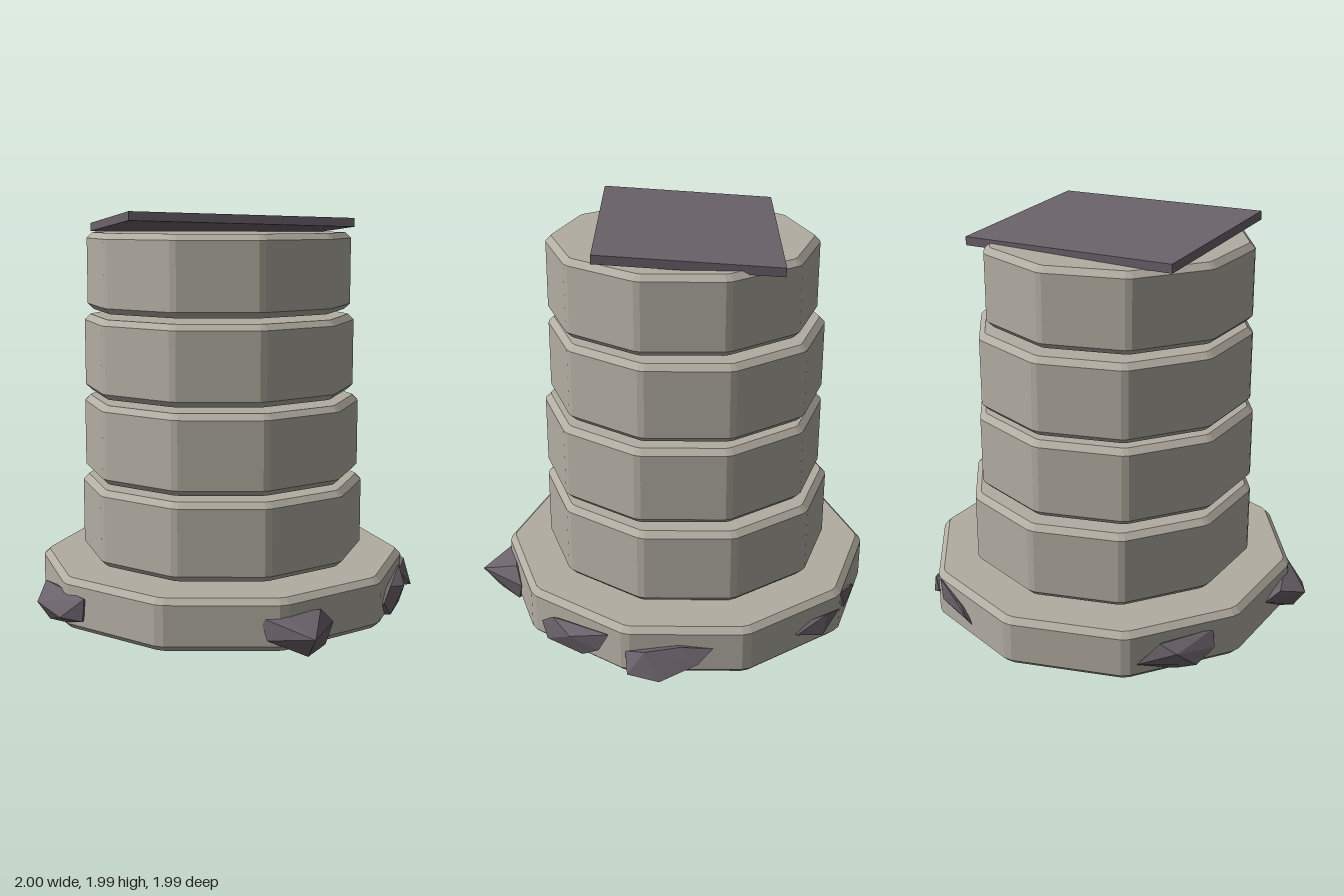
import * as THREE from 'three';
import { ConvexGeometry } from 'three/addons/geometries/ConvexGeometry.js';

const stone = new THREE.MeshStandardMaterial({ color: 0xb2ada2, flatShading: true });
stone.name = 'pale stone';
const slate = new THREE.MeshStandardMaterial({ color: 0x6a626a, flatShading: true });
slate.name = 'dark slate';

// Ten-sided block with bevelled rims and slightly chamfered upright edges
function drum(name, radius, bottom, top, x, z) {
  const bevel = 0.028, sides = 10, cut = 0.04;
  const corner = (i) => new THREE.Vector2(
    Math.sin(-i * Math.PI * 2 / sides), Math.cos(-i * Math.PI * 2 / sides)).multiplyScalar(radius);
  const points = [];
  for (let i = 0; i < sides; i++) {
    points.push(corner(i).lerp(corner(i - 1), cut), corner(i).lerp(corner(i + 1), cut));
  }
  const geometry = new THREE.ExtrudeGeometry(new THREE.Shape(points), {
    depth: top - bottom - 2 * bevel, bevelEnabled: true, bevelSegments: 1,
    bevelSize: bevel, bevelThickness: bevel, bevelOffset: -bevel,
  });
  geometry.rotateX(-Math.PI / 2);
  const mesh = new THREE.Mesh(geometry, stone);
  mesh.name = name;
  mesh.position.set(x, bottom + bevel, z);
  return mesh;
}

// Faceted rock wrapped around a few corner points
function rock(name, corners) {
  const mesh = new THREE.Mesh(
    new ConvexGeometry(corners.map((p) => new THREE.Vector3(...p))), slate);
  mesh.name = name;
  return mesh;
}

export function createModel() {
  const model = new THREE.Group();
  model.name = 'stonePillar';

  // Wide base and four stacked drums, each a little narrower
  model.add(
    drum('base', 0.93, 0.015, 0.265, 0.005, -0.075),
    drum('drum1', 0.718, 0.28, 0.66, 0.005, -0.08),
    drum('drum2', 0.697, 0.69, 1.075, -0.005, -0.06),
    drum('drum3', 0.682, 1.1, 1.483, -0.012, -0.075),
    drum('drum4', 0.662, 1.51, 1.89, -0.02, -0.055),
  );

  // Tilted cap slab
  const slab = new THREE.Mesh(new THREE.BoxGeometry(1.11, 0.042, 0.86), slate);
  slab.name = 'capSlab';
  slab.position.set(-0.02, 1.926, -0.08);
  slab.rotation.set(-0.067, 0, -0.028);
  model.add(slab);

  // Rocks lodged around the base
  model.add(
    rock('frontRock', [[-0.1, 0.18, 0.81], [-0.08, 0.08, 0.85], [0.1, 0.11, 0.99], [0.1, 0.002, 0.9],
      [0.23, 0.01, 0.79], [0.275, 0.11, 0.77], [0.2, 0.185, 0.8], [0, 0.19, 0.83], [0.1, 0.1, 0.65], [0.05, 0.003, 0.7]]),
    rock('leftRock', [[0.88, 0.14, 0.21], [0.955, 0.06, 0.2], [1.0, 0.05, 0.05], [0.96, 0.12, -0.13],
      [0.89, 0.16, -0.2], [0.93, 0.195, -0.05], [0.95, 0.18, 0.12], [0.9, 0.03, 0], [0.7, 0.1, 0], [0.75, 0.003, 0.05]]),
    rock('frontLeftRock', [[0.84, 0.2, 0.29], [0.82, 0.1, 0.34], [0.78, 0.05, 0.42], [0.65, 0.05, 0.6],
      [0.6, 0.12, 0.63], [0.66, 0.18, 0.57], [0.78, 0.15, 0.48], [0.6, 0.1, 0.4], [0.58, 0.003, 0.42]]),
    rock('rightRock', [[-1, 0.14, 0.15], [-0.93, 0.2, 0], [-0.88, 0.15, -0.06], [-0.94, 0.05, 0.15],
      [-0.92, 0.1, 0.3], [-0.81, 0.19, 0.34], [-0.82, 0.08, 0.34], [-0.87, 0.04, 0.2], [-0.7, 0.1, 0.1], [-0.75, 0.003, 0.1]]),
    rock('backRightRock', [[-0.58, 0.1, -0.79], [-0.74, 0.16, -0.7], [-0.8, 0.08, -0.62], [-0.83, 0.12, -0.5],
      [-0.8, 0.19, -0.46], [-0.7, 0.04, -0.64], [-0.66, 0.2, -0.72], [-0.6, 0.1, -0.5], [-0.55, 0.003, -0.55]]),
    rock('backLeftRock', [[0.72, 0.12, -0.61], [0.7, 0.14, -0.55], [0.66, 0.08, -0.74], [0.55, 0.16, -0.83],
      [0.63, 0.18, -0.76], [0.6, 0.1, -0.6], [0.5, 0.003, -0.6]]),
    rock('backRock', [[0.3, 0.14, -0.935], [0.4, 0.2, -0.9], [0.53, 0.24, -0.84], [0.5, 0.14, -0.86],
      [0.28, 0.1, -0.92], [0.35, 0.18, -0.91], [0.4, 0.1, -0.75], [0.25, 0.003, -0.75]]),
  );
  return model;
}
